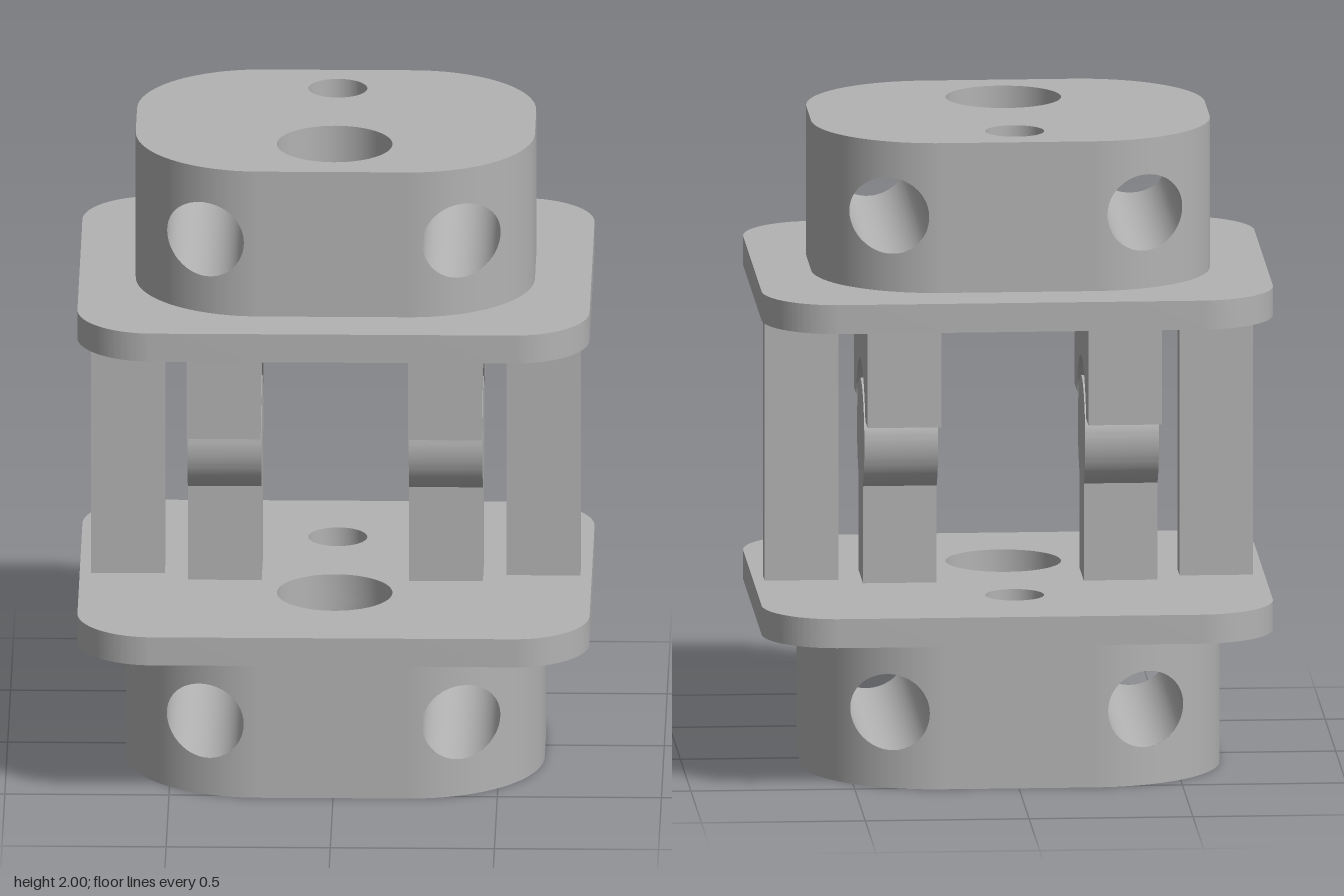
import * as THREE from 'three';
import { toCreasedNormals } from 'three/addons/utils/BufferGeometryUtils.js';

const grey = new THREE.MeshStandardMaterial({ color: 0xb3b3b3 });
grey.name = 'plain grey';

// Vertical bores through blocks and plates
const BORES = [{ z: 0.222, r: 0.176 }, { z: -0.315, r: 0.09 }];
// Cross holes running front to back through the blocks
const HOLE_X = 0.39, HOLE_R = 0.118;

function addMesh(group, name, geometry) {
  const mesh = new THREE.Mesh(geometry, grey);
  mesh.name = name;
  group.add(mesh);
  return mesh;
}

// Collects quads with given corner normals; winding follows the normals
function quadBuilder() {
  const pos = [], nor = [];
  return {
    quad(points, normals) {
      const [a, b, c, d] = points.map((p) => new THREE.Vector3(...p));
      const face = c.clone().sub(a).cross(d.clone().sub(b));
      const order = face.dot(new THREE.Vector3(...normals[0])) > 0
        ? [0, 1, 2, 0, 2, 3] : [0, 2, 1, 0, 3, 2];
      for (const i of order) {
        pos.push(...points[i]);
        nor.push(...normals[i]);
      }
    },
    build() {
      const g = new THREE.BufferGeometry();
      g.setAttribute('position', new THREE.Float32BufferAttribute(pos, 3));
      g.setAttribute('normal', new THREE.Float32BufferAttribute(nor, 3));
      return g;
    },
  };
}

function punchBores(shape) {
  for (const { z, r } of BORES) {
    shape.holes.push(new THREE.Path().absarc(0, -z, r, 0, Math.PI * 2, true));
  }
  return shape;
}

// Rounded block with bores and cross holes; open where it meets its plate
function addBlock(group, name, hx, hz, r, y0, y1, holeY, capY, capUp) {
  const block = new THREE.Group();
  block.name = name;
  group.add(block);
  const flatX = hx - r, flatZ = hz - r;
  const over = (x) => Math.sign(x) * Math.max(0, Math.abs(x) - flatX);
  const depth = (x) => flatZ + Math.sqrt(Math.max(0, r * r - over(x) ** 2));
  const normal = (x, s) => [over(x) / r, 0, s * (depth(x) - flatZ) / r];
  const gap = (x) => Math.sqrt(Math.max(0, HOLE_R ** 2 - (Math.abs(x) - HOLE_X) ** 2));

  // Columns across the width, fine at the corners and the hole rims
  const xs = [];
  for (let i = 0; i <= 24; i++) {
    const x1 = flatX + r * Math.sin((i / 24) * Math.PI / 2);
    const x2 = HOLE_X + HOLE_R * Math.cos((i / 24) * Math.PI);
    xs.push(x1, -x1, x2, -x2);
  }
  xs.sort((a, b) => a - b);

  // Front and back walls, each column split above and below the hole
  const wall = quadBuilder();
  for (let i = 0; i + 1 < xs.length; i++) {
    const a = xs[i], b = xs[i + 1];
    if (b - a < 1e-6) continue;
    for (const s of [1, -1]) {
      const za = s * depth(a), zb = s * depth(b);
      const n = [normal(a, s), normal(b, s), normal(b, s), normal(a, s)];
      wall.quad([[a, y0, za], [b, y0, zb], [b, holeY - gap(b), zb], [a, holeY - gap(a), za]], n);
      wall.quad([[a, holeY + gap(a), za], [b, holeY + gap(b), zb], [b, y1, zb], [a, y1, za]], n);
    }
  }
  // Flat end walls
  for (const s of [1, -1]) {
    const x = s * hx;
    wall.quad([[x, y0, -flatZ], [x, y0, flatZ], [x, y1, flatZ], [x, y1, -flatZ]],
      Array(4).fill([s, 0, 0]));
  }
  addMesh(block, 'blockWall', wall.build());

  // Inner walls of the cross holes and the vertical bores
  const holes = quadBuilder();
  const N = 48;
  for (let i = 0; i < N; i++) {
    const [t, u] = [i, i + 1].map((k) => (k / N) * Math.PI * 2);
    const [ct, st, cu, su] = [Math.cos(t), Math.sin(t), Math.cos(u), Math.sin(u)];
    for (const s of [1, -1]) {
      const xa = s * HOLE_X + HOLE_R * ct, xb = s * HOLE_X + HOLE_R * cu;
      const ya = holeY + HOLE_R * st, yb = holeY + HOLE_R * su;
      const na = [-ct, -st, 0], nb = [-cu, -su, 0];
      holes.quad([[xa, ya, -depth(xa)], [xb, yb, -depth(xb)],
        [xb, yb, depth(xb)], [xa, ya, depth(xa)]], [na, nb, nb, na]);
    }
    for (const { z, r: R } of BORES) {
      const na = [-ct, 0, -st], nb = [-cu, 0, -su];
      holes.quad([[R * ct, y0, z + R * st], [R * cu, y0, z + R * su],
        [R * cu, y1, z + R * su], [R * ct, y1, z + R * st]], [na, nb, nb, na]);
    }
  }
  addMesh(block, 'holeWalls', holes.build());

  // Outer end face
  const unique = xs.filter((x, i) => i === 0 || x - xs[i - 1] > 1e-6);
  const outline = [
    ...unique.map((x) => new THREE.Vector2(x, -depth(x))),
    ...unique.slice().reverse().map((x) => new THREE.Vector2(x, depth(x))),
  ];
  const cap = new THREE.ShapeGeometry(punchBores(new THREE.Shape(outline)), 24);
  cap.rotateX(-Math.PI / 2);
  if (!capUp) {
    // Turn the face downwards
    const idx = cap.index;
    for (let i = 0; i < idx.count; i += 3) {
      const k = idx.getX(i);
      idx.setX(i, idx.getX(i + 1));
      idx.setX(i + 1, k);
    }
    cap.computeVertexNormals();
  }
  cap.translate(0, capY, 0);
  addMesh(block, 'endFace', cap);
}

// Wide plate with rounded corners
function addPlate(group, name, y) {
  const hx = 0.78, hz = 0.663, r = 0.23;
  const s = new THREE.Shape();
  s.absarc(hx - r, hz - r, r, 0, Math.PI / 2);
  s.absarc(r - hx, hz - r, r, Math.PI / 2, Math.PI);
  s.absarc(r - hx, r - hz, r, Math.PI, Math.PI * 1.5);
  s.absarc(hx - r, r - hz, r, Math.PI * 1.5, Math.PI * 2);
  const g = new THREE.ExtrudeGeometry(punchBores(s), { depth: 0.09, bevelEnabled: false, curveSegments: 24 });
  g.rotateX(-Math.PI / 2).translate(0, y, 0);
  addMesh(group, name, toCreasedNormals(g, 0.5));
}

// Side profile (z, y) extruded across x
function addProfile(group, name, shape, x, width) {
  const g = new THREE.ExtrudeGeometry(shape, { depth: width, bevelEnabled: false, curveSegments: 48 });
  g.translate(0, 0, -width / 2).rotateY(Math.PI / 2).translate(x, 0, 0);
  addMesh(group, name, toCreasedNormals(g, 0.5));
}

export function createModel() {
  const model = new THREE.Group();
  model.name = 'jointedBlocks';
  const low = 0.56, high = 1.445, width = 0.225;

  addBlock(model, 'lowerBlock', 0.638, 0.522, 0.41, 0, 0.47, 0.235, 0, false);
  addBlock(model, 'upperBlock', 0.608, 0.492, 0.38, 1.535, 2, 1.77, 2, true);
  addPlate(model, 'lowerPlate', 0.47);
  addPlate(model, 'upperPlate', high);

  // Post with a round head
  const neck = 0.105, R = 0.174;
  const a = Math.acos(neck / R);
  const knuckle = new THREE.Shape();
  knuckle.moveTo(-neck, low);
  knuckle.lineTo(neck, low);
  knuckle.absarc(0, 1, R, -a, Math.PI + a);
  knuckle.closePath();

  // Saddle with a round hollow over the head
  const S = 0.235, foot = 1.085;
  const b = Math.asin((foot - 1) / S);
  const saddle = new THREE.Shape();
  saddle.moveTo(0.325, foot);
  saddle.lineTo(0.325, high);
  saddle.lineTo(-0.325, high);
  saddle.lineTo(-0.325, foot);
  saddle.absarc(0, 1, S, Math.PI - b, b, true);
  saddle.closePath();

  for (const [side, s] of [['left', 1], ['right', -1]]) {
    const strut = addMesh(model, side + 'Strut', new THREE.BoxGeometry(width, high - low, 0.09));
    strut.position.set(s * 0.633, (low + high) / 2, 0);
    addProfile(model, side + 'Knuckle', knuckle, s * 0.337, width);
    addProfile(model, side + 'Saddle', saddle, s * 0.337, width);
  }
  return model;
}
